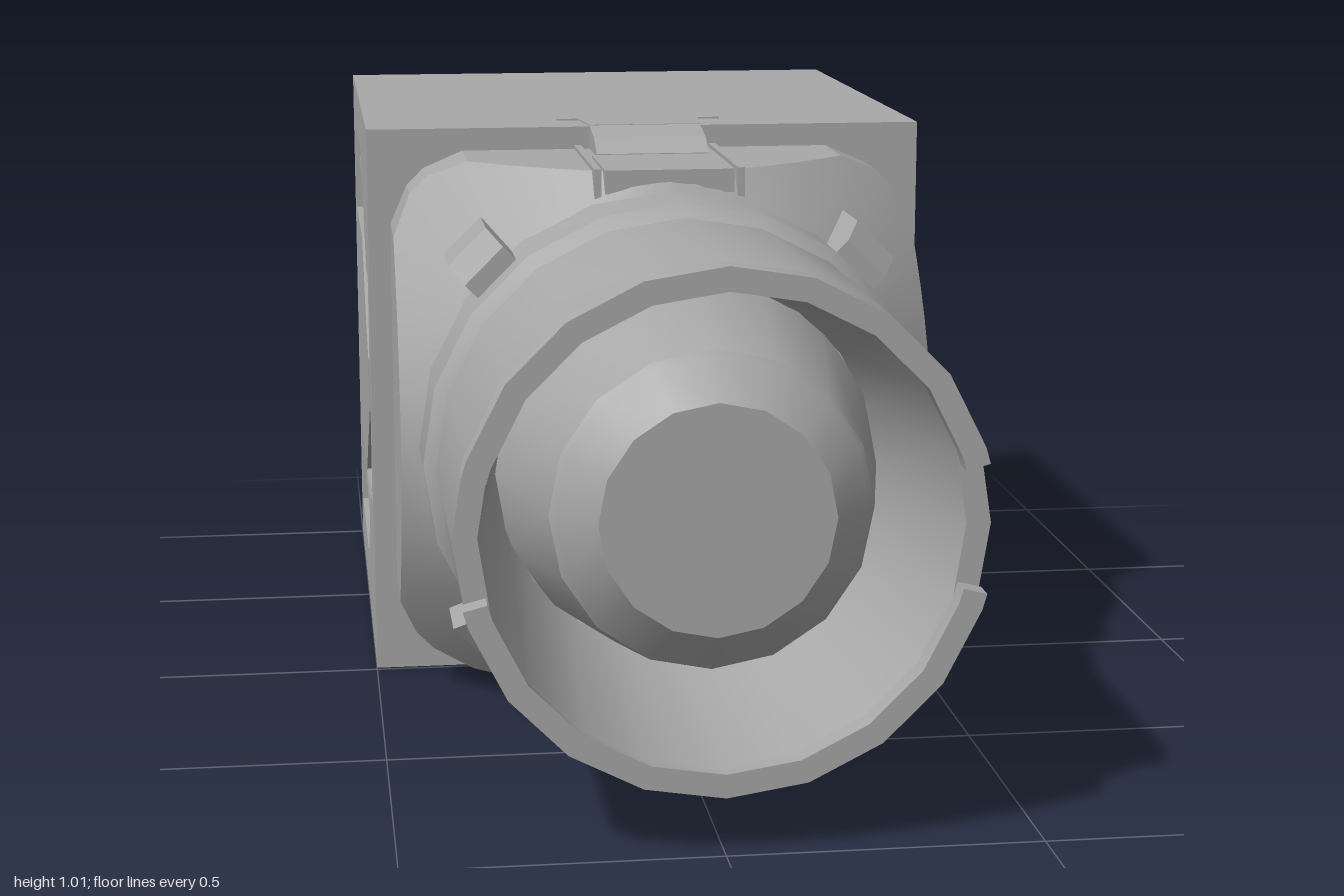
import * as THREE from 'three';
import { toCreasedNormals } from 'three/addons/utils/BufferGeometryUtils.js';

const CY = 0.503; // height of the barrel axis

export function createModel() {
  const model = new THREE.Group();
  const grey = new THREE.MeshStandardMaterial({ color: 0xa8a8a8 });

  const add = (name, geo, parent = model, x = 0, y = 0, z = 0) => {
    const mesh = new THREE.Mesh(geo, grey);
    mesh.name = name;
    mesh.position.set(x, y, z);
    parent.add(mesh);
    return mesh;
  };
  const polygon = (pts) => pts.map((p) => new THREE.Vector2(p[0], p[1]));
  const extrude = (pts, depth, hole) => {
    const shape = new THREE.Shape(polygon(pts));
    if (hole) shape.holes.push(new THREE.Path(polygon(hole)));
    return new THREE.ExtrudeGeometry(shape, { depth, bevelEnabled: false });
  };
  // Profile of [radius, z] turned around the z axis
  const turned = (pts, sides) =>
    toCreasedNormals(new THREE.LatheGeometry(polygon(pts), sides).rotateX(Math.PI / 2), 0.5);

  // Housing: core block with a slotted panel on each side
  const housing = new THREE.Group();
  housing.name = 'housing';
  model.add(housing);
  const depth = 0.07;
  add('housingCore', new THREE.BoxGeometry(1 - 2 * depth, 1, 1), housing, 0, CY, -0.5);
  const slot = [
    [0.1, 0.29], [0.2, 0.29], [0.46, 0.1], [0.9, 0.1], [0.9, 0.27], [0.47, 0.27], [0.2, 0.43], [0.18, 0.45],
    [0.18, 0.55], [0.21, 0.56], [0.28, 0.59], [0.48, 0.735], [0.9, 0.735], [0.9, 0.91], [0.46, 0.91], [0.2, 0.72], [0.1, 0.72],
  ];
  const panel = extrude([[0, 0.003], [1, 0.003], [1, 1.003], [0, 1.003]], depth, slot).rotateY(Math.PI / 2);

  // Bent contact rod lying in a slot
  const rod = (sy) => {
    const pts = [[0.1, 0.14], [0.19, 0.14], [0.23, 0.155], [0.32, 0.225], [0.42, 0.31], [0.48, 0.335], [0.6, 0.335], [0.81, 0.335]]
      .map(([u, v]) => new THREE.Vector3(0, CY + sy * v, -u));
    return new THREE.TubeGeometry(new THREE.CatmullRomCurve3(pts), 40, 0.05, 14);
  };
  for (const s of [1, -1]) {
    add('sidePanel', panel, housing, s > 0 ? 0.5 - depth : -0.5);
    for (const sy of [1, -1]) {
      add('contactRod', rod(sy), model, s * 0.445);
      add('contactRodEnd', new THREE.SphereGeometry(0.05, 14, 10), model, s * 0.445, CY + sy * 0.335, -0.81);
    }
    add('contactStub', new THREE.CylinderGeometry(0.06, 0.06, 0.08, 16).rotateX(Math.PI / 2), model, s * 0.437, CY, -0.14);
  }

  // Flange: rounded square whose front corners are cut by a cone
  const quarter = [[0.46, 0.33], [0.43, 0.4], [0.4, 0.43], [0.33, 0.46]];
  const corners = [];
  for (let q = 0; q < 4; q++) {
    const a = (q * Math.PI) / 2;
    for (const [x, y] of quarter)
      corners.push([x * Math.cos(a) - y * Math.sin(a), x * Math.sin(a) + y * Math.cos(a)]);
  }
  const outline = [];
  corners.forEach((c, i) => {
    const n = corners[(i + 1) % corners.length];
    const steps = i % 4 === 3 ? 14 : 2;
    for (let k = 0; k < steps; k++)
      outline.push([c[0] + ((n[0] - c[0]) * k) / steps, c[1] + ((n[1] - c[1]) * k) / steps]);
  });
  const pos = [], index = [], count = outline.length;
  for (let j = 0; j < 3; j++) {
    for (const [x, y] of outline) {
      const r = Math.hypot(x, y);
      const f = j === 2 ? 0.42 / r : 1;
      pos.push(x * f, y * f, [0, 0.33 - (r - 0.46) * 1.7, 0.355][j]);
    }
  }
  for (let j = 0; j < 2; j++) {
    for (let i = 0; i < count; i++) {
      const a = j * count + i, b = j * count + ((i + 1) % count);
      index.push(a, b, b + count, a, b + count, a + count);
    }
  }
  const flange = new THREE.BufferGeometry();
  flange.setAttribute('position', new THREE.Float32BufferAttribute(pos, 3));
  flange.setIndex(index);
  add('flange', toCreasedNormals(flange, 0.35), model, 0, CY);

  // Hollow barrel and the stepped plug inside it
  add('barrel', turned([[0.43, 0.05], [0.43, 0.49], [0.41, 0.52], [0.41, 0.96], [0.372, 0.96], [0.315, 0.55]], 20), model, 0, CY);
  add('plug', turned([[0.318, 0.55], [0.255, 0.84], [0.245, 0.85], [0.185, 0.905], [0, 0.905]], 16), model, 0, CY);

  // Barrel rim: two arcs leaving a notch on each side
  const degrees = [14.3];
  for (let d = 18; d <= 162; d += 18) degrees.push(d);
  degrees.push(165.7);
  const arc = (r) => degrees.map((d) => [r * Math.cos((d * Math.PI) / 180), r * Math.sin((d * Math.PI) / 180)]);
  const rim = toCreasedNormals(extrude([...arc(0.41), ...arc(0.372).reverse()], 0.04), 0.5);
  for (const turn of [0, Math.PI]) add('barrelRim', rim, model, 0, CY, 0.96).rotation.z = turn;

  // Four bayonet lugs on the diagonals, front edge sloped
  const lug = extrude([[0.39, -0.24], [0.39, -0.43], [0.455, -0.43], [0.49, -0.38], [0.49, -0.24]], 0.09)
    .translate(0, 0, -0.045).rotateX(-Math.PI / 2);
  // Profile y now runs along -z, so turn it to the front
  lug.rotateX(Math.PI);
  lug.computeBoundingBox();
  if (lug.boundingBox.max.z < 0) lug.rotateX(Math.PI);
  for (let i = 0; i < 4; i++) add('lug', lug, model, 0, CY).rotation.z = Math.PI / 4 + (i * Math.PI) / 2;

  // Latch clips on top and bottom
  for (const turn of [0, Math.PI]) {
    const clip = new THREE.Group();
    clip.name = 'latchClip';
    clip.position.y = CY;
    clip.rotation.z = turn;
    model.add(clip);
    const hook = [[-0.1, 0], [0.1, 0], [0.11, 0.1], [0.15, 0.1], [0.12, 0.15], [0.1, 0.175], [-0.1, 0.175], [-0.12, 0.15], [-0.15, 0.1], [-0.11, 0.1]];
    add('hook', extrude(hook, 0.008).rotateX(-Math.PI / 2), clip, 0, 0.495);
    const neck = [[0.06, 0.43], [0.06, 0.502], [0, 0.502], [-0.07, 0.488], [-0.12, 0.465], [-0.12, 0.43]];
    add('neck', extrude(neck, 0.2).rotateY(Math.PI / 2), clip, -0.1);
    add('pad', new THREE.BoxGeometry(0.22, 0.04, 0.21), clip, 0, 0.445, 0.235);
    for (const s of [1, -1]) add('rib', new THREE.BoxGeometry(0.012, 0.05, 0.34), clip, s * 0.122, 0.442, 0.17);
  }
  return model;
}
